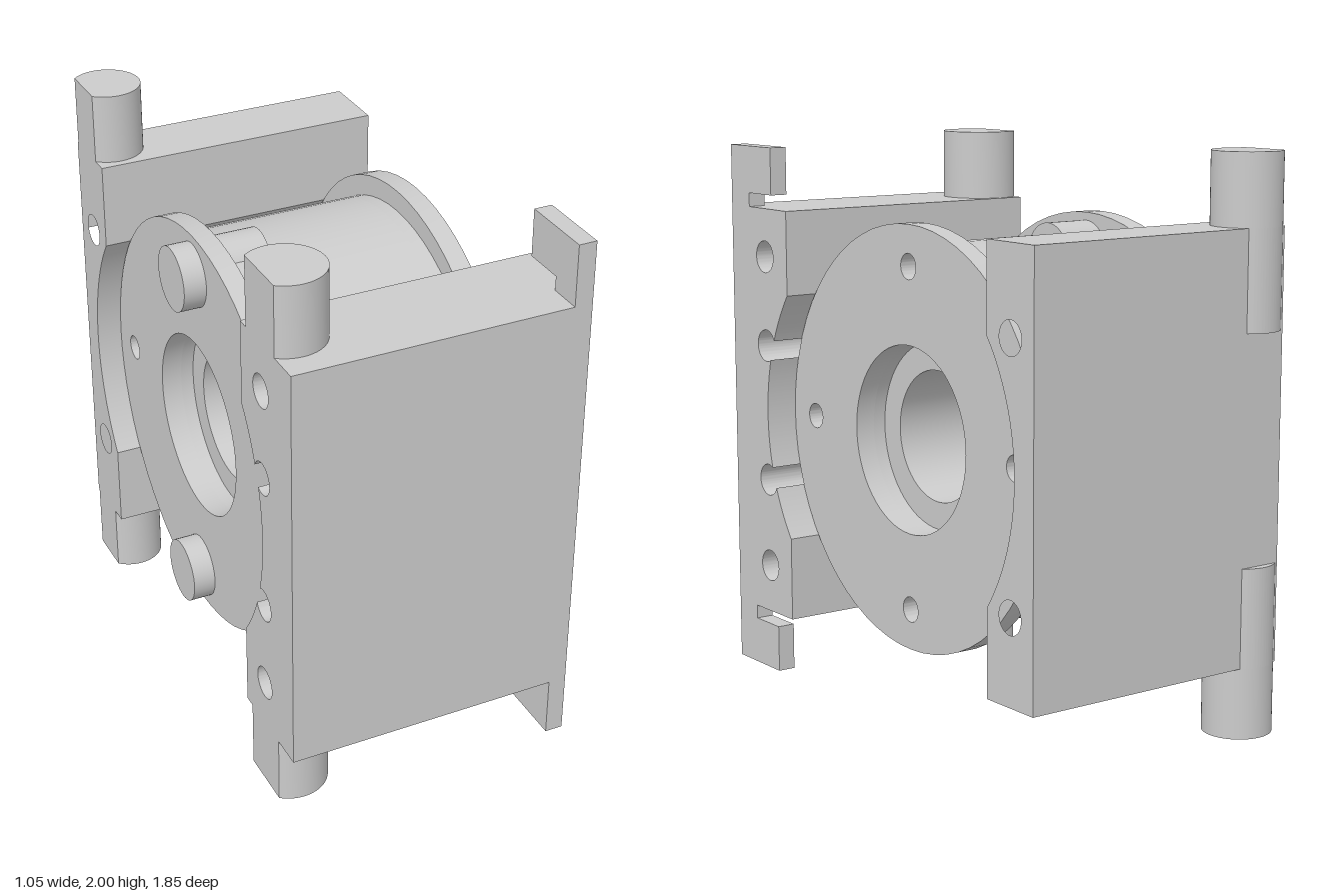
import * as THREE from 'three';
import { toCreasedNormals } from 'three/addons/utils/BufferGeometryUtils.js';

const material = new THREE.MeshStandardMaterial({ color: 0xcccccc });
const HALF = 0.525;              // half length along x
const CY = 1, CA = 0.05;         // bore axis: height, and position along -z

function add(group, name, geometry) {
  const mesh = new THREE.Mesh(toCreasedNormals(geometry, 0.6), material);
  mesh.name = name;
  group.add(mesh);
}

// Profile drawn in (-z, y), extruded along x from x0 to x1
function alongX(shape, x0, x1) {
  return new THREE.ExtrudeGeometry(shape, { depth: x1 - x0, bevelEnabled: false, curveSegments: 32 })
    .rotateY(Math.PI / 2).translate(x0, 0, 0);
}

// Profile drawn in (x, -z), extruded along y from y0 to y1
function alongY(shape, y0, y1) {
  return new THREE.ExtrudeGeometry(shape, { depth: y1 - y0, bevelEnabled: false, curveSegments: 24 })
    .rotateX(-Math.PI / 2).translate(0, y0, 0);
}

function hole(shape, a, y, r) {
  shape.holes.push(new THREE.Path().absarc(a, y, r, 0, Math.PI * 2, true));
}

// Side block with a round recess; side is -1 for front, 1 for back.
// openHoles lists angles (from the block's direction) of bolt holes that break into the recess.
const RECESS = 0.748, HOLE = 0.058;
function blockShape(side, inner, outer, openHoles, holeDist) {
  const base = side < 0 ? Math.PI : 0;
  const theta = Math.acos(Math.abs(inner - CA) / RECESS);
  const dir = side < 0 ? 1 : -1;                 // travel from the lower to the upper corner
  const clockwise = side < 0;
  const s = new THREE.Shape();
  s.moveTo(outer, 0.25);
  s.lineTo(inner, 0.25);
  let angle = base + dir * theta;
  s.lineTo(CA + RECESS * Math.cos(angle), CY + RECESS * Math.sin(angle));
  for (const offset of openHoles) {
    const h = base + dir * offset, d = holeDist;
    const alpha = Math.acos((RECESS ** 2 + d * d - HOLE ** 2) / (2 * RECESS * d));
    const beta = Math.acos((HOLE ** 2 + d * d - RECESS ** 2) / (2 * HOLE * d));
    s.absarc(CA, CY, RECESS, angle, h + dir * alpha, clockwise);
    s.absarc(CA + d * Math.cos(h), CY + d * Math.sin(h), HOLE,
      h + dir * (Math.PI - beta), h - dir * (Math.PI - beta), clockwise);
    angle = h - dir * alpha;
  }
  s.absarc(CA, CY, RECESS, angle, base - dir * theta, clockwise);
  s.lineTo(inner, 1.75);
  s.lineTo(outer, 1.75);
  s.closePath();
  return s;
}

// Round rod with a flat at the block's end face
function rodShape(z, r) {
  const a = Math.PI - Math.acos((HALF - 0.44) / r);
  const s = new THREE.Shape();
  s.absarc(-0.44, -z, r, -a, a, false);
  s.closePath();
  return s;
}

// Ring about the bore axis with four small bolt holes
function ringShape(outer, bore) {
  const s = new THREE.Shape();
  s.absarc(CA, CY, outer, 0, Math.PI * 2, false);
  hole(s, CA, CY, bore);
  for (let i = 0; i < 4; i++) {
    const t = i * Math.PI / 2;
    hole(s, CA + 0.6 * Math.cos(t), CY + 0.6 * Math.sin(t), 0.045);
  }
  return s;
}

export function createModel() {
  const model = new THREE.Group();
  model.name = 'flangedHousing';

  // Front block: two closed holes and two that open into the recess
  const phi = Math.atan2(0.25, 0.75);
  const front = blockShape(-1, -0.55, -0.926, [phi, -phi], Math.hypot(0.25, 0.75));
  for (const y of [0.425, 1.575]) hole(front, -0.7, y, HOLE);
  add(model, 'frontBlock', alongX(front, -HALF, HALF));

  // Back block
  const back = blockShape(1, 0.653, 0.898, [], 0);
  for (const y of [0.55, 1.45]) hole(back, 0.777, y, HOLE);
  add(model, 'backBlock', alongX(back, -HALF, HALF));

  // Hooked tabs above and below the front block
  for (const side of [1, -1]) {
    const outline = [[-0.926, 0.75], [-0.803, 0.75], [-0.803, 0.8], [-0.65, 0.8], [-0.65, 0.97], [-0.926, 0.97]];
    const tab = new THREE.Shape(outline.map(([a, h]) => new THREE.Vector2(a, CY + side * h)));
    add(model, side > 0 ? 'upperTab' : 'lowerTab', alongX(tab, 0.46, HALF));
  }

  // Rod ends, and the slivers of the back rods that stand proud of the block
  const sliver = new THREE.Shape();
  const w = Math.acos(0.094 / 0.122);
  sliver.absarc(-0.44, 0.803, 0.122, Math.PI / 2 - w, Math.PI / 2 + w, false);
  sliver.closePath();
  for (const [y0, y1] of [[0, 0.25], [1.75, 2]]) {
    add(model, 'frontRod', alongY(rodShape(0.7, 0.137), y0, y1));
    add(model, 'backRod', alongY(rodShape(-0.803, 0.122), y0, y1));
  }
  for (const [y0, y1] of [[0.25, 0.6], [1.4, 1.75]]) add(model, 'backRodSide', alongY(sliver, y0, y1));

  // Barrel with counterbored ends and a flange on each end
  const layers = [
    ['rightFlange', 0.744, 0.33, -0.435, -0.362],
    ['rightBarrelEnd', 0.67, 0.33, -0.362, -0.315],
    ['barrel', 0.67, 0.232, -0.315, 0.29],
    ['leftBarrelEnd', 0.67, 0.33, 0.29, 0.337],
    ['leftFlange', 0.744, 0.33, 0.337, 0.41],
  ];
  for (const [name, outer, bore, x0, x1] of layers) add(model, name, alongX(ringShape(outer, bore), x0, x1));

  // Pins through the right flange, top and bottom
  for (const y of [CY - 0.6, CY + 0.6]) {
    const pin = new THREE.CylinderGeometry(0.115, 0.115, 0.325, 40).rotateZ(Math.PI / 2);
    add(model, 'pin', pin.translate(-0.3525, y, -CA));
  }
  return model;
}
